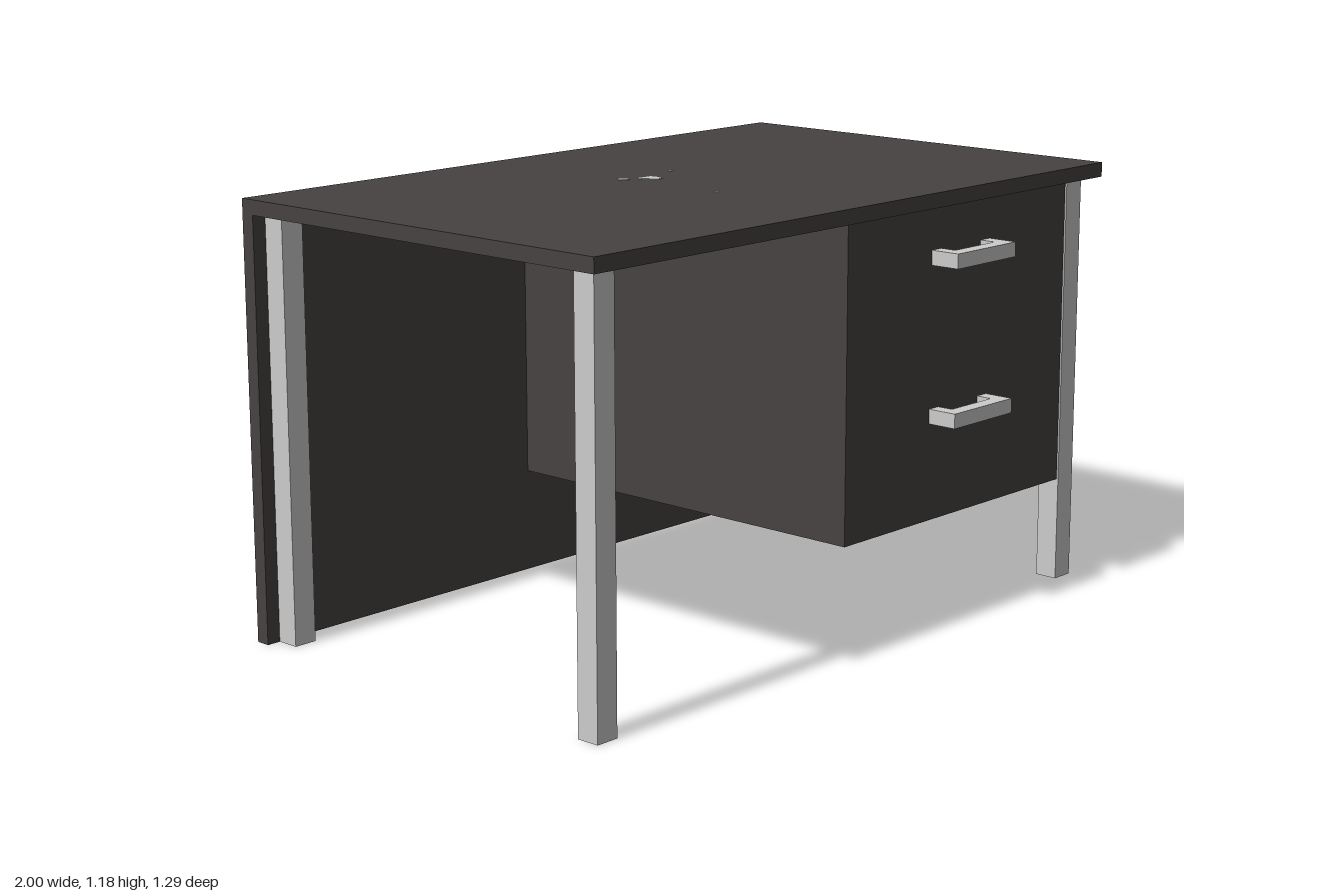
import * as THREE from 'three';

export function createModel() {
  const desk = new THREE.Group();
  desk.name = 'desk';
  const darkWood = new THREE.MeshStandardMaterial({ color: 0x474241 });
  darkWood.name = 'darkWood';
  const paleMetal = new THREE.MeshStandardMaterial({ color: 0xcccccc });
  paleMetal.name = 'paleMetal';

  // Box given by its min and max corners
  function box(name, material, [x0, y0, z0], [x1, y1, z1], parent = desk) {
    const mesh = new THREE.Mesh(new THREE.BoxGeometry(x1 - x0, y1 - y0, z1 - z0), material);
    mesh.position.set((x0 + x1) / 2, (y0 + y1) / 2, (z0 + z1) / 2);
    mesh.name = name;
    parent.add(mesh);
    return mesh;
  }

  // Table top, full-height back panel and drawer cabinet
  box('tableTop', darkWood, [-1, 1.14, -0.645], [1, 1.18, 0.605]);
  box('backPanel', darkWood, [-1, 0, -0.645], [1, 1.14, -0.605]);
  box('drawerCabinet', darkWood, [-0.045, 0.29, -0.605], [0.892, 1.14, 0.56]);

  // Four square legs
  for (const [side, x] of [['left', 0.892], ['right', -0.96]]) {
    box(side + 'FrontLeg', paleMetal, [x, 0, 0.5], [x + 0.067, 1.14, 0.565]);
    box(side + 'BackLeg', paleMetal, [x, 0, -0.605], [x + 0.067, 1.14, -0.54]);
  }

  // Bracket handles: a bar on two posts
  for (const [name, y] of [['upperHandle', 0.98], ['lowerHandle', 0.555]]) {
    const handle = new THREE.Group();
    handle.name = name;
    box('bar', paleMetal, [0.3, y, 0.605], [0.55, y + 0.04, 0.645], handle);
    for (const x of [0.3, 0.51]) box('post', paleMetal, [x, y, 0.56], [x + 0.04, y + 0.04, 0.605], handle);
    desk.add(handle);
  }

  // Small pale flecks lying on the table top, outlined in x and z
  const flecks = [
    [[-0.09, -0.126], [-0.075, -0.136], [-0.032, -0.134], [-0.027, -0.115], [-0.037, -0.083], [-0.059, -0.078], [-0.075, -0.099]],
    [[-0.136, -0.15], [-0.128, -0.165], [-0.11, -0.163], [-0.102, -0.147], [-0.11, -0.133], [-0.128, -0.135]],
    [[0.07, -0.165], [0.08, -0.173], [0.09, -0.165], [0.08, -0.157]],
    [[-0.122, 0.175], [-0.11, 0.167], [-0.1, 0.175], [-0.112, 0.187]],
  ];
  for (const outline of flecks) {
    const shape = new THREE.Shape(outline.map(([x, z]) => new THREE.Vector2(x, -z)));
    const geometry = new THREE.ExtrudeGeometry(shape, { depth: 0.002, bevelEnabled: false });
    const fleck = new THREE.Mesh(geometry.rotateX(-Math.PI / 2), paleMetal);
    fleck.position.y = 1.18;
    fleck.name = 'tableTopFleck';
    desk.add(fleck);
  }
  return desk;
}
